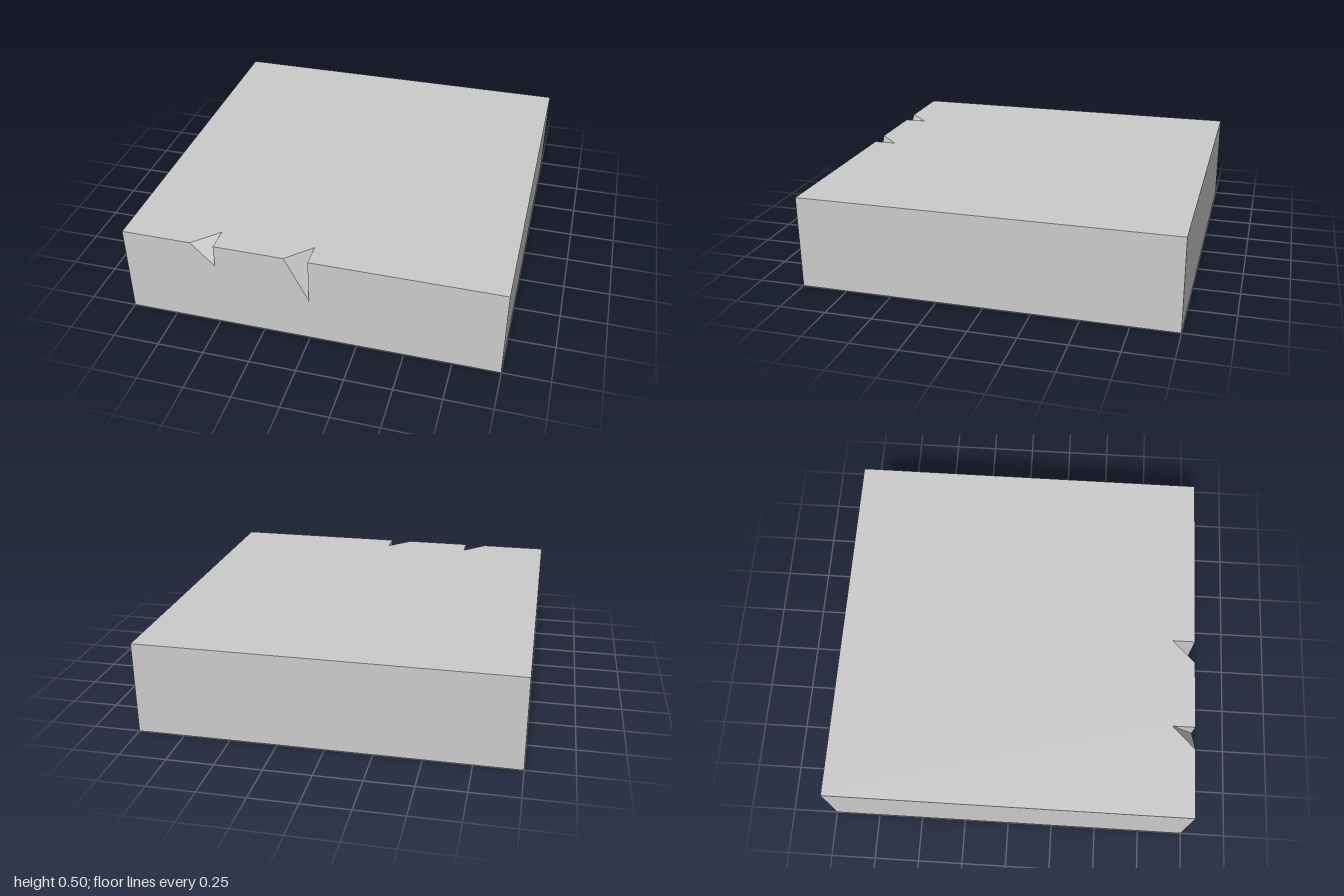
import * as THREE from 'three';

const HEIGHT = 0.5;
const NOTCH_WIDTH = 0.125;
// Corner notches in the front top edge: x of the upright side, depth down the front
const NOTCHES = [{ x: -0.5, depth: 0.125 }, { x: 0, depth: 0.25 }];

const material = new THREE.MeshStandardMaterial({ color: 0xcccccc, flatShading: true });
const thinMaterial = new THREE.MeshStandardMaterial({ color: 0xcccccc, flatShading: true, side: THREE.DoubleSide });

const square = (h) => [[-h, -h], [h, -h], [h, h], [-h, h]].map(([x, y]) => new THREE.Vector2(x, y));

// Rectangle between the heights edge and other, with the notches cut into edge
function notchedShape(edge, other, cutOf) {
  const inward = Math.sign(other - edge);
  const points = [[-1, other], [-1, edge]];
  for (const n of NOTCHES) {
    points.push([n.x - NOTCH_WIDTH, edge], [n.x, edge + inward * cutOf(n)], [n.x, edge]);
  }
  points.push([1, edge], [1, other]);
  return new THREE.Shape(points.map(([x, y]) => new THREE.Vector2(x, y)));
}

export function createModel() {
  const group = new THREE.Group();
  const add = (name, geometry, mat = material) => {
    const mesh = new THREE.Mesh(geometry, mat);
    mesh.name = name;
    group.add(mesh);
  };

  // Thin top, which is also the ceiling of the hollow
  add('top', new THREE.ShapeGeometry(notchedShape(-1, 1, () => NOTCH_WIDTH))
    .rotateX(-Math.PI / 2).translate(0, HEIGHT, 0), thinMaterial);

  // Outer sides
  add('front', new THREE.ShapeGeometry(notchedShape(HEIGHT, 0, (n) => n.depth)).translate(0, 0, 1));
  ['leftSide', 'back', 'rightSide'].forEach((name, i) => {
    add(name, new THREE.PlaneGeometry(2, HEIGHT).translate(0, HEIGHT / 2, 1).rotateY((i + 1) * Math.PI / 2));
  });

  // Slanted and upright face of each notch
  for (const { x, depth } of NOTCHES) {
    const a = [x - NOTCH_WIDTH, HEIGHT, 1];
    const b = [x, HEIGHT, 1 - NOTCH_WIDTH];
    const c = [x, HEIGHT - depth, 1];
    const d = [x, HEIGHT, 1];
    const geometry = new THREE.BufferGeometry();
    geometry.setAttribute('position', new THREE.Float32BufferAttribute([a, c, b, b, c, d].flat(), 3));
    geometry.computeVertexNormals();
    add('notch', geometry);
  }

  // Underside with a square opening
  const underside = new THREE.Shape(square(1));
  underside.holes.push(new THREE.Path(square(0.5).reverse()));
  add('underside', new THREE.ShapeGeometry(underside).rotateX(Math.PI / 2));

  // Inward walls of the hollow
  for (let i = 0; i < 4; i++) {
    add('recessWall', new THREE.PlaneGeometry(1, HEIGHT).translate(0, HEIGHT / 2, -0.5).rotateY(i * Math.PI / 2));
  }

  // Crossed dividers in the upper half of the hollow
  for (let i = 0; i < 2; i++) {
    add('divider', new THREE.PlaneGeometry(1, HEIGHT / 2).translate(0, HEIGHT * 0.75, 0).rotateY(i * Math.PI / 2), thinMaterial);
  }
  return group;
}
